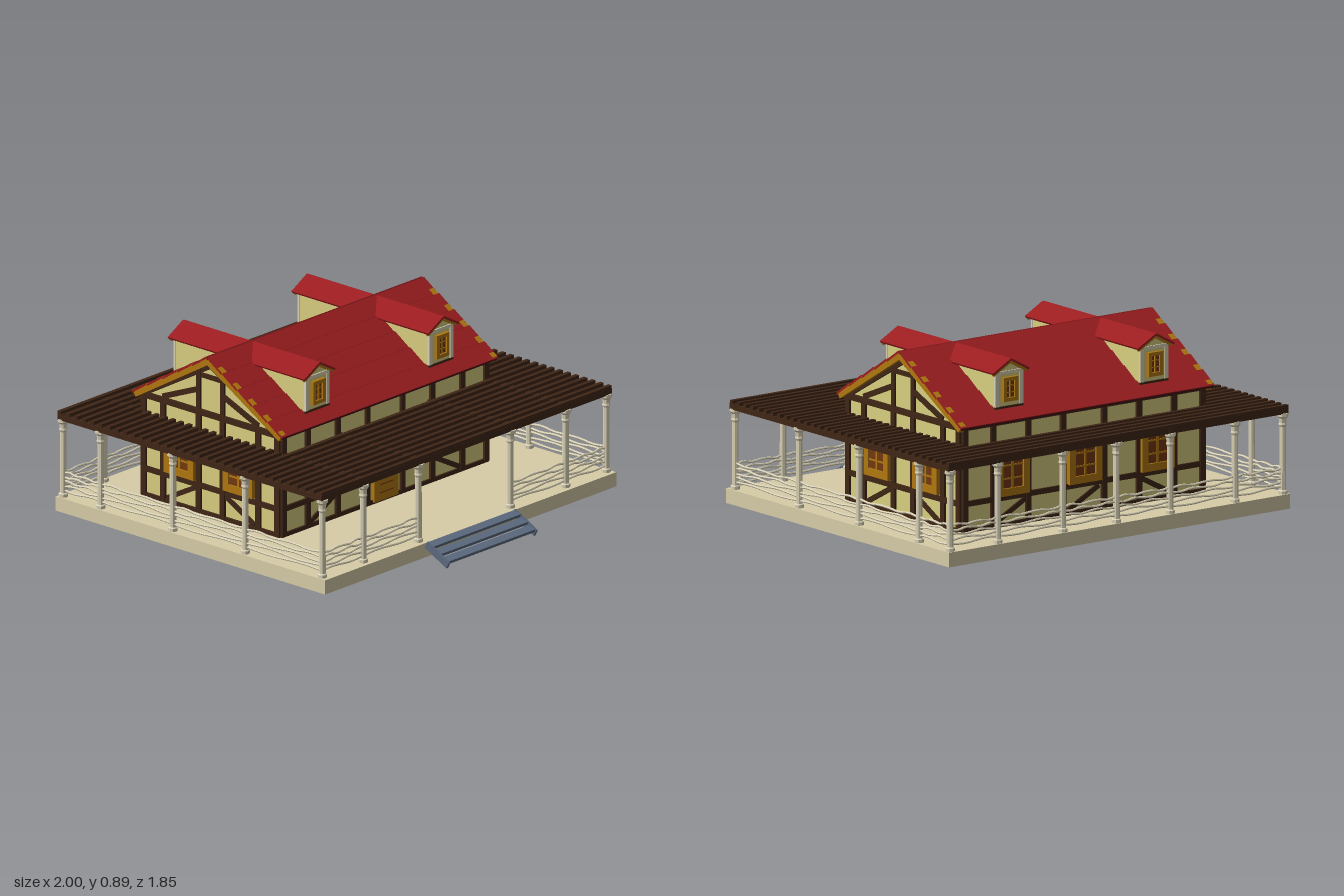
import * as THREE from 'three';

const mat = (color, side = THREE.FrontSide) => new THREE.MeshStandardMaterial({ color, side, flatShading: true });
const M = {
  stone: mat(0xd8cda8), plaster: mat(0xd9cf80), timber: mat(0x3f2616), red: mat(0x9b1d20),
  orange: mat(0xb0780f), pane: mat(0x74380f), steel: mat(0x5c6b80), rail: mat(0xdcd4b8), groove: mat(0x4a0e10),
};
const ZC = -0.205;      // ridge position in z
const SLOPE = Math.atan2(0.28, 0.475);

function add(parent, name, geo, m, x = 0, y = 0, z = 0) {
  const mesh = new THREE.Mesh(geo, m);
  mesh.name = name;
  mesh.position.set(x, y, z);
  parent.add(mesh);
  return mesh;
}
const box = (p, name, m, w, h, d, x, y, z) => add(p, name, new THREE.BoxGeometry(w, h, d), m, x, y, z);

function group(parent, name, x = 0, y = 0, z = 0, ry = 0) {
  const g = new THREE.Group();
  g.name = name;
  g.position.set(x, y, z);
  g.rotation.y = ry;
  parent.add(g);
  return g;
}

// Straight board between two points of a facade plane
function board(p, name, m, x1, y1, x2, y2, w = 0.026, d = 0.02, z = 0) {
  const b = box(p, name, m, Math.hypot(x2 - x1, y2 - y1), w, d, (x1 + x2) / 2, (y1 + y2) / 2, z);
  b.rotation.z = Math.atan2(y2 - y1, x2 - x1);
  return b;
}

// Gabled prism extruded along z
function prism(halfWidth, y0, eave, apex, depth) {
  const s = new THREE.Shape([[-halfWidth, y0], [halfWidth, y0], [halfWidth, eave], [0, apex], [-halfWidth, eave]]
    .map(([x, y]) => new THREE.Vector2(x, y)));
  return new THREE.ExtrudeGeometry(s, { depth, bevelEnabled: false }).translate(0, 0, -depth / 2);
}

// Framed window with glazing bars, facing +z
function windowUnit(p, x, y, w, h, t, z = 0.01) {
  const g = group(p, 'window', x, y, z);
  box(g, 'windowPane', M.pane, w - t, h - t, 0.012, 0, 0, 0);
  for (const s of [-1, 1]) {
    box(g, 'windowJamb', M.orange, t, h, 0.032, s * (w - t) / 2, 0, 0);
    box(g, 'windowHead', M.orange, w, t, 0.032, 0, s * (h - t) / 2, 0);
    box(g, 'windowBar', M.orange, w - t, t * 0.22, 0.02, 0, s * h * 0.14, 0);
  }
  box(g, 'windowMullion', M.orange, t * 0.35, h - t, 0.022, 0, 0, 0);
}

function door(p) {
  const g = group(p, 'door', -0.005, 0, 0.008);
  box(g, 'doorLeaf', M.orange, 0.165, 0.37, 0.024, 0, 0.285, 0);
  box(g, 'doorPane', M.pane, 0.095, 0.15, 0.03, 0, 0.375, 0);
  for (let i = 0; i < 4; i++) box(g, 'doorGroove', M.pane, 0.095, 0.005, 0.027, 0, 0.14 + i * 0.04, 0);
  add(g, 'doorKnob', new THREE.SphereGeometry(0.009, 8, 6), M.timber, 0.06, 0.25, 0.018);
}

// Timber framing shared by every facade
function framing(p, half, posts, sills) {
  for (const x of posts) box(p, 'wallPost', M.timber, 0.03, 0.5, 0.024, x, 0.345, 0);
  box(p, 'topBeam', M.timber, half * 2 + 0.02, 0.028, 0.03, 0, 0.592, 0);
  box(p, 'footBeam', M.timber, half * 2, 0.02, 0.02, 0, 0.1, 0);
  for (const [a, b] of sills) box(p, 'sillBeam', M.timber, b - a, 0.026, 0.022, (a + b) / 2, 0.228, 0);
}

function brace(p, x, s) {
  board(p, 'brace', M.timber, x - s * 0.09, 0.115, x + s * 0.09, 0.21, 0.024, 0.018);
}

function longFacade(p, isFront) {
  framing(p, 0.71, [-0.695, -0.53, -0.325, -0.12, 0.12, 0.325, 0.53, 0.695],
    isFront ? [[-0.7, -0.12], [0.12, 0.7]] : [[-0.7, 0.7]]);
  for (const s of [-1, 1]) {
    windowUnit(p, s * 0.425, 0.35, 0.19, 0.225, 0.036);
    brace(p, s * 0.425, -s);
  }
  if (isFront) door(p);
  else { windowUnit(p, 0, 0.35, 0.19, 0.225, 0.036); brace(p, 0, 1); }
}

function gableFacade(p) {
  framing(p, 0.435, [-0.42, -0.3, -0.075, 0.075, 0.3, 0.42], [[-0.43, 0.43]]);
  for (const s of [-1, 1]) {
    windowUnit(p, s * 0.185, 0.355, 0.185, 0.215, 0.036);
    brace(p, s * 0.185, -s);
    box(p, 'gablePost', M.timber, 0.026, 0.21, 0.022, s * 0.075, 0.7, 0);
    board(p, 'gableBrace', M.timber, s * 0.3, 0.61, s * 0.08, 0.7);
    board(p, 'gableRafter', M.timber, s * 0.42, 0.6, 0, 0.835, 0.03);
    board(p, 'bargeboard', M.orange, s * 0.46, 0.592, 0, 0.863, 0.036, 0.03, 0.016);
  }
  box(p, 'collarBeam', M.timber, 0.16, 0.022, 0.02, 0, 0.775, 0);
}

// Overlapping courses on both slopes
function roof(p) {
  const g = group(p, 'roof', 0, 0, ZC);
  const n = 5, len = 0.475 / Math.cos(SLOPE) / n;
  for (const s of [-1, 1]) {
    const side = group(g, 'roofSlope', 0, 0.878, 0, s > 0 ? 0 : Math.PI);
    const tilt = group(side, 'roofPlane');
    tilt.rotation.x = SLOPE;
    box(tilt, 'roofDeck', M.groove, 1.475, 0.012, len * n - 0.004, 0, -0.008, len * n / 2);
    for (let i = 0; i < n; i++) {
      const c = box(tilt, 'roofCourse', M.red, 1.485, 0.01, len - 0.004, 0, 0.001, len * (i + 0.5));
      c.rotation.x = 0.05;
    }
  }
}

// Dormer running through the roof, showing a face on each slope
function dormer(p, x) {
  const g = group(p, 'dormer', x, 0, ZC);
  add(g, 'dormerBody', prism(0.08, 0.645, 0.82, 0.865, 0.82), M.plaster);
  for (const s of [-1, 1]) {
    const r = board(g, 'dormerRoof', M.red, s * 0.105, 0.817, 0, 0.875, 0.01, 0.86);
    r.position.y += 0.002;
    const face = group(g, 'dormerFace', 0, 0, s * 0.41, s > 0 ? 0 : Math.PI);
    windowUnit(face, 0, 0.735, 0.085, 0.115, 0.018, 0.002);
    box(face, 'dormerSill', M.timber, 0.166, 0.01, 0.012, 0, 0.65, 0);
    for (const t of [-1, 1]) {
      box(face, 'dormerCornerBoard', M.rail, 0.02, 0.16, 0.012, t * 0.072, 0.735, 0);
      board(face, 'dormerBargeboard', M.orange, t * 0.1, 0.812, 0, 0.866, 0.013, 0.014, 0.008);
    }
    box(face, 'dormerTie', M.rail, 0.15, 0.014, 0.012, 0, 0.815, 0);
  }
}

// Porch: columns, rustic rails and slatted pergola
const columnProfile = [[0, 0.09], [0.022, 0.09], [0.022, 0.105], [0.016, 0.11], [0.015, 0.41], [0.02, 0.42],
  [0.017, 0.43], [0.019, 0.45], [0.027, 0.46], [0.027, 0.475], [0, 0.475]].map(([r, y]) => new THREE.Vector2(r, y));

function railing(p, x1, z1, x2, z2) {
  const g = group(p, 'railing');
  for (let k = 0; k < 5; k++) {
    const pts = [];
    for (let i = 0; i <= 6; i++) {
      const t = i / 6, wave = 0.005 * Math.sin(i * (1.1 + k * 0.35) + k * 2);
      pts.push(new THREE.Vector3(x1 + (x2 - x1) * t, 0.122 + k * 0.022 + wave, z1 + (z2 - z1) * t));
    }
    add(g, 'rail', new THREE.TubeGeometry(new THREE.CatmullRomCurve3(pts), 14, 0.0055, 6), M.rail);
  }
}

function porch(p) {
  const g = group(p, 'porch');
  const F = 0.735, B = -0.895, X = 0.975;
  const front = [-X, -0.695, -0.315, 0.315, 0.695, X], back = [-X, -0.695, -0.315, 0, 0.315, 0.695, X];
  const sides = [F, 0.25, ZC, -0.66, B];
  const column = (x, z) => add(g, 'column', new THREE.LatheGeometry(columnProfile, 8), M.rail, x, 0, z);
  front.forEach((x, i) => { column(x, F); if (i && i !== 3) railing(g, front[i - 1], F, x, F); });
  back.forEach((x, i) => { column(x, B); if (i) railing(g, back[i - 1], B, x, B); });
  for (const s of [-X, X]) sides.forEach((z, i) => {
    if (i && i < 4) column(s, z);
    if (i) railing(g, s, sides[i - 1], s, z);
  });
  // Main beams
  for (const z of [F, B]) box(g, 'pergolaBeam', M.timber, 1.99, 0.028, 0.034, 0, 0.486, z);
  for (const x of [-0.98, 0.98]) box(g, 'pergolaSideBeam', M.timber, 0.035, 0.026, 1.66, x, 0.484, -0.08);
  for (const x of [-0.695, -0.315, 0.315, 0.695]) {
    box(g, 'pergolaCrossBeam', M.timber, 0.034, 0.03, 0.53, x, 0.487, 0.485);
    box(g, 'pergolaCrossBeam', M.timber, 0.034, 0.03, 0.28, x, 0.487, -0.775);
  }
  // Slats, split where they meet the house
  for (let i = 0; i < 33; i++) {
    const z = 0.74 - i * 0.0513;
    if (z < 0.24 && z > -0.65) {
      for (const s of [-1, 1]) box(g, 'pergolaSlat', M.timber, 0.29, 0.02, 0.022, s * 0.85, 0.504, z);
    } else box(g, 'pergolaSlat', M.timber, 1.99, 0.02, 0.022, 0, 0.504, z);
  }
}

function stairs(p) {
  const g = group(p, 'stairs', -0.01, 0, 0);
  for (const s of [-1, 1]) {
    const b = box(g, 'stairStringer', M.steel, 0.012, 0.034, 0.155, s * 0.3, 0.05, 0.85);
    b.rotation.x = 0.48;
  }
  for (let i = 0; i < 3; i++) {
    const t = box(g, 'stairTread', M.steel, 0.6, 0.014, 0.046, 0, 0.084 - i * 0.026, 0.805 + i * 0.046);
    t.rotation.x = 0.2;
  }
}

export function createModel() {
  const root = new THREE.Group();
  root.name = 'house';
  box(root, 'platform', M.stone, 2, 0.07, 1.695, 0, 0.055, -0.0725);
  stairs(root);

  const body = add(root, 'walls', prism(0.435, 0.09, 0.595, 0.855, 1.42), M.plaster, 0, 0, ZC);
  body.rotation.y = Math.PI / 2;
  longFacade(group(root, 'frontFacade', 0, 0, 0.23), true);
  longFacade(group(root, 'backFacade', 0, 0, -0.64, Math.PI), false);
  for (const s of [-1, 1]) gableFacade(group(root, 'gableFacade', s * 0.71, 0, ZC, s * Math.PI / 2));

  roof(root);
  for (const x of [-0.435, 0.415]) dormer(root, x);
  porch(root);
  return root;
}
